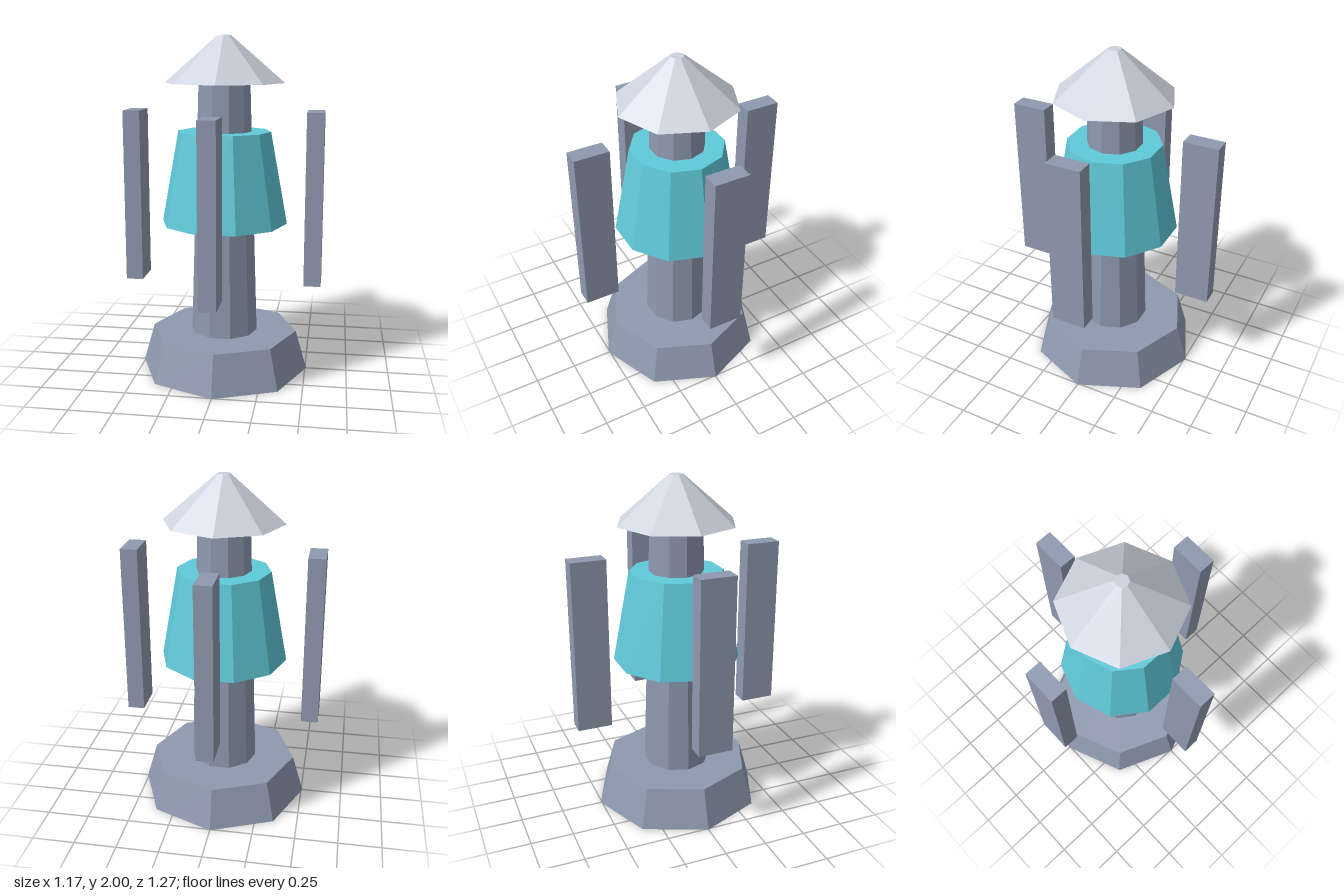
import * as THREE from 'three';

function material(name, color) {
  const m = new THREE.MeshStandardMaterial({ color, flatShading: true });
  m.name = name;
  return m;
}

export function createModel() {
  const model = new THREE.Group();
  model.name = 'tower';
  const grey = material('slateGrey', 0x8f9ab0);
  const teal = material('teal', 0x60cada);
  const pale = material('paleGrey', 0xccd3de);

  const add = (name, geometry, mat, x, y, z) => {
    const mesh = new THREE.Mesh(geometry, mat);
    mesh.name = name;
    mesh.position.set(x, y, z);
    model.add(mesh);
  };

  // Tapered prism between two heights, with a corner on the x axis
  const prism = (name, rTop, rBottom, y0, y1, sides, mat) => {
    const g = new THREE.CylinderGeometry(rTop, rBottom, y1 - y0, sides);
    g.rotateY(Math.PI / 2);
    add(name, g, mat, 0, (y0 + y1) / 2, 0);
  };

  prism('base', 0.44, 0.508, 0, 0.236, 8, grey);
  prism('column', 0.152, 0.2, 0.236, 1.73, 10, grey);
  prism('collar', 0.275, 0.375, 0.906, 1.45, 10, teal);
  prism('roof', 0.038, 0.352, 1.73, 2, 8, pale);

  // Four floating slabs, all facing the same way
  const slab = new THREE.BoxGeometry(0.1, 1.016, 0.204);
  const r = 0.534;
  add('leftSlab', slab, grey, r, 1.063, 0);
  add('rightSlab', slab, grey, -r, 1.063, 0);
  add('frontSlab', slab, grey, 0, 1.063, r);
  add('backSlab', slab, grey, 0, 1.063, -r);

  return model;
}
